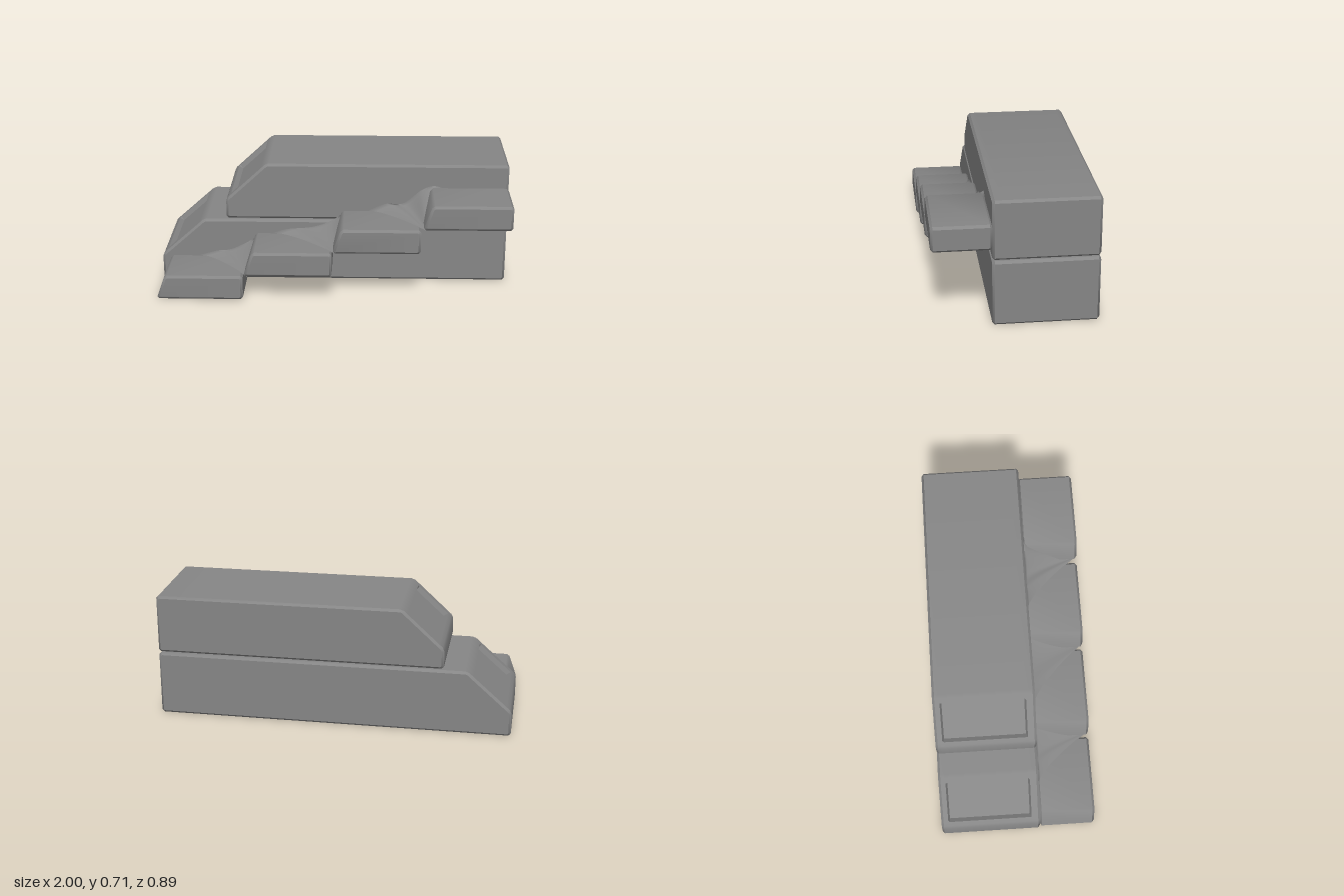
import * as THREE from 'three';
import { ParametricGeometry } from 'three/addons/geometries/ParametricGeometry.js';
import { toCreasedNormals } from 'three/addons/utils/BufferGeometryUtils.js';

const GREY = 0x868686;
const mat = new THREE.MeshStandardMaterial({ color: GREY });
const thinMat = new THREE.MeshStandardMaterial({ color: GREY, side: THREE.DoubleSide });
const V = (x, y) => new THREE.Vector2(x, y);
const CHAMFER = 0.013;

// Inward normal of the edge that starts at corner i of a counter-clockwise polygon
function inward(poly, i) {
  const n = poly.length;
  const d = poly[(i + 1) % n].clone().sub(poly[i % n]).normalize();
  return V(-d.y, d.x);
}

// Move every edge of a convex polygon inwards by d
function inset(poly, d) {
  return poly.map((p, i) => {
    const a = inward(poly, i + poly.length - 1), b = inward(poly, i);
    return p.clone().addScaledVector(a.clone().add(b), d / (1 + a.dot(b)));
  });
}

// Cut the corners; with a notch, add a tapered pocket of the given depth to one edge
function section(poly, cut, notch, depth = 0) {
  const n = poly.length, out = [];
  poly.forEach((p, i) => {
    const prev = poly[(i + n - 1) % n], next = poly[(i + 1) % n];
    out.push(p.clone().addScaledVector(prev.clone().sub(p).normalize(), cut));
    out.push(p.clone().addScaledVector(next.clone().sub(p).normalize(), cut));
    if (notch && notch.edge === i) {
      const at = t => p.clone().lerp(next, t);
      const k = inward(poly, i).multiplyScalar(depth);
      out.push(at(notch.from), at(notch.from + 0.03).add(k), at(notch.to - 0.03).add(k), at(notch.to));
    }
  });
  return out;
}

// Skin rings of points stacked along z and close both ends
function loft(rings) {
  const n = rings[0].pts.length, pos = [], idx = [];
  for (const r of rings) for (const p of r.pts) pos.push(p.x, p.y, r.z);
  for (let i = 0; i < rings.length - 1; i++) {
    for (let j = 0; j < n; j++) {
      const a = i * n + j, b = i * n + (j + 1) % n;
      idx.push(a, b, b + n, a, b + n, a + n);
    }
  }
  const last = (rings.length - 1) * n;
  for (let j = 1; j < n - 1; j++) {
    idx.push(0, j + 1, j);
    idx.push(last, last + j, last + j + 1);
  }
  const g = new THREE.BufferGeometry();
  g.setAttribute('position', new THREE.Float32BufferAttribute(pos, 3));
  g.setIndex(idx);
  return toCreasedNormals(g, THREE.MathUtils.degToRad(38));
}

// Chamfered prism along z, optionally with a rectangular pocket in one face
function prism(name, poly, z0, z1, notch) {
  const c = CHAMFER;
  const full = section(poly, c, notch), small = section(inset(poly, c), c * 0.5, notch);
  const rings = [{ pts: small, z: z0 }, { pts: full, z: z0 + c }];
  if (notch) {
    const deep = section(poly, c, notch, notch.depth);
    rings.push({ pts: full, z: notch.z0 }, { pts: deep, z: notch.z0 + 0.01 });
    rings.push({ pts: deep, z: notch.z1 - 0.01 }, { pts: full, z: notch.z1 });
  }
  rings.push({ pts: full, z: z1 - c }, { pts: small, z: z1 });
  const mesh = new THREE.Mesh(loft(rings), mat);
  mesh.name = name;
  return mesh;
}

export function createModel() {
  const model = new THREE.Group();
  model.name = 'steppedBlocks';

  // Two stacked bodies with a sloped end and a recessed panel in the slope
  const pocket = { edge: 3, from: 0.13, to: 0.88, depth: 0.026, z0: -0.405, z1: 0.075 };
  const body = (name, x0, y0, xTop, yTop, yNose) => prism(name,
    [V(x0, y0), V(1, y0), V(1, yTop), V(xTop, yTop), V(x0, yNose)], -0.445, 0.125, pocket);
  model.add(body('lowerBody', -1, 0, -0.75, 0.368, 0.145));
  model.add(body('upperBody', -0.62, 0.375, -0.385, 0.707, 0.49));

  // Four steps rising along the front
  const stepX = [-0.995, -0.5, 0, 0.505], stepEnd = [-0.505, -0.003, 0.494, 1];
  stepX.forEach((x, i) => {
    const y = 0.003 + i * 0.1435;
    model.add(prism('step' + (i + 1),
      [V(x, y), V(stepEnd[i], y), V(stepEnd[i], y + 0.142), V(x + 0.05, y + 0.142)],
      0.123, 0.443));
  });

  // Swooping fillets on the treads, highest along the wall
  const crests = [
    [[-0.78, 0], [-0.68, 0.028], [-0.6, 0.038], [-0.5, 0.085], [-0.42, 0.138]],
    [[-0.35, 0], [-0.27, 0.024], [-0.13, 0.038], [-0.02, 0.075], [0.07, 0.138]],
    [[0.2, 0], [0.3, 0.042], [0.4, 0.046], [0.5, 0.125], [0.57, 0.153], [0.63, 0.139]],
  ];
  crests.forEach((pts, i) => {
    const crest = new THREE.SplineCurve(pts.map(p => V(...p)));
    const base = 0.144 + i * 0.1435, xEnd = stepX[i + 1] + 0.02;
    const geo = new ParametricGeometry((u, v, target) => {
      const p = crest.getPoint(u);
      const x = THREE.MathUtils.lerp(p.x, xEnd, Math.pow(v, 0.7));
      target.set(x, base + p.y * Math.pow(1 - v, 1.4), 0.125 + 0.31 * v);
    }, 28, 18);
    const fillet = new THREE.Mesh(geo, thinMat);
    fillet.name = 'stepFillet' + (i + 1);
    model.add(fillet);
  });

  return model;
}
